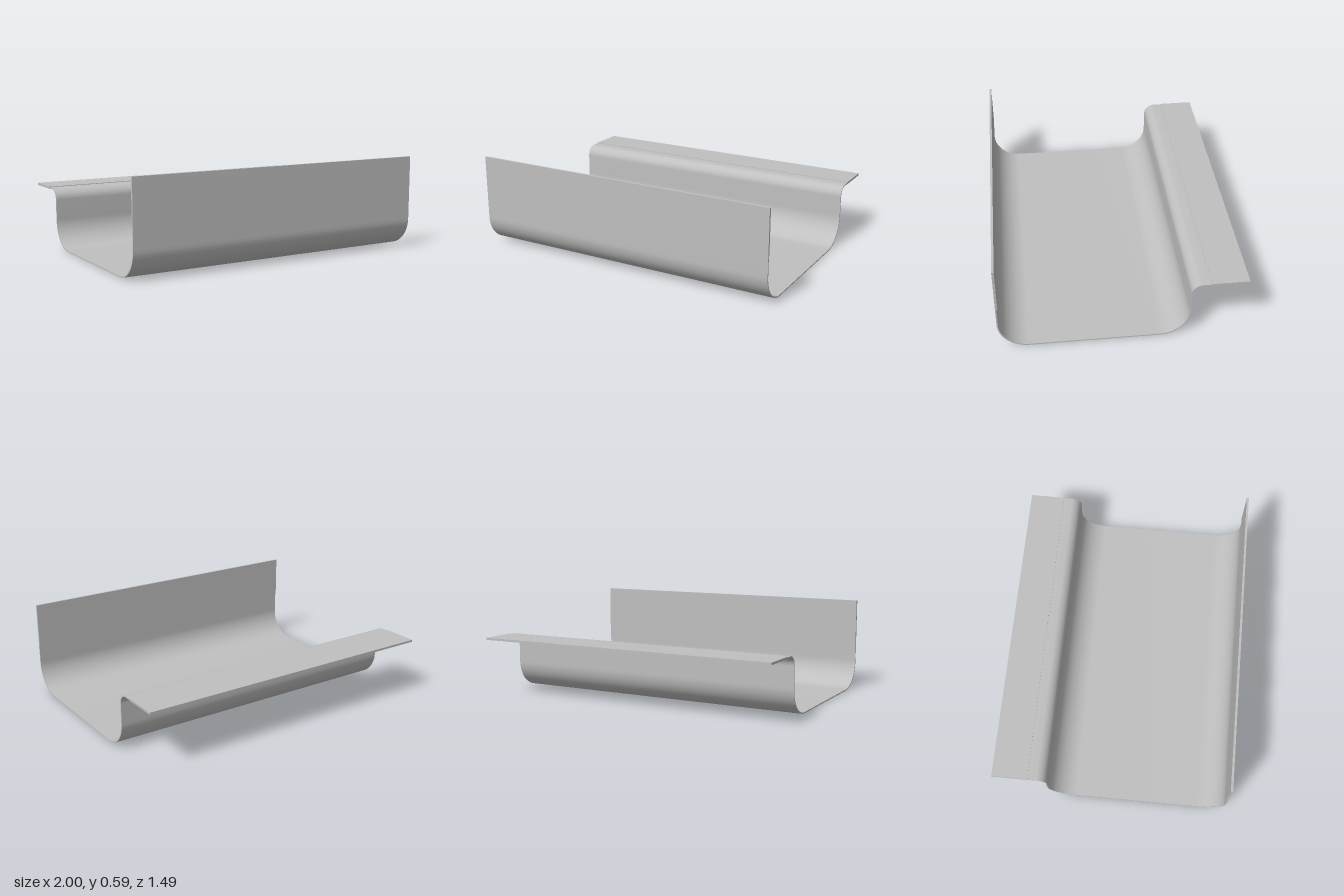
import * as THREE from 'three';
import { toCreasedNormals } from 'three/addons/utils/BufferGeometryUtils.js';

const LENGTH = 2;
const T = 0.008; // sheet thickness
const R = 0.185; // outer radius of the trough corners
const r = 0.06; // underside radius of the rim bend

// Cross-section drawn with x pointing to the back and y up
function troughProfile() {
  const front = -0.747, back = 0.41, rimY = 0.315, lip = 0.52;
  const c1 = front + R, c2 = back - R, c3 = back + r;
  const s = new THREE.Shape();
  // outside, from the front wall under the floor to the back rim
  s.moveTo(front, 0.31);
  s.lineTo(front, R);
  s.absarc(c1, R, R, Math.PI, Math.PI * 1.5, false);
  s.absarc(c2, R, R, -Math.PI / 2, 0, false);
  s.absarc(c3, rimY, r, Math.PI, Math.PI / 2, true);
  s.lineTo(lip, rimY + r);
  // inside, back again
  s.lineTo(lip, rimY + r + T);
  s.absarc(c3, rimY, r + T, Math.PI / 2, Math.PI, false);
  s.absarc(c2, R, R - T, 0, -Math.PI / 2, true);
  s.absarc(c1, R, R - T, Math.PI * 1.5, Math.PI, true);
  s.lineTo(front + T, 0.31);
  s.closePath();
  return s;
}

export function createModel() {
  const model = new THREE.Group();
  model.name = 'gutterChannel';
  const metal = new THREE.MeshStandardMaterial({ color: 0xc0c0c0 });
  metal.name = 'greyMetal';

  function add(name, geometry, y = 0, z = 0) {
    const mesh = new THREE.Mesh(geometry, metal);
    mesh.name = name;
    mesh.position.set(0, y, z);
    model.add(mesh);
  }

  // Bent sheet: front wall, floor, back wall and rim
  let sheet = new THREE.ExtrudeGeometry(troughProfile(), {
    depth: LENGTH, bevelEnabled: false, curveSegments: 20,
  });
  sheet.translate(0, 0, -LENGTH / 2);
  sheet.rotateY(Math.PI / 2);
  add('troughSheet', toCreasedNormals(sheet, 0.5));

  // Thicker edge strips along the front wall and the back lip
  add('frontEdgeStrip', new THREE.BoxGeometry(LENGTH, 0.285, 0.014), 0.4525, 0.74);
  add('backLipStrip', new THREE.BoxGeometry(LENGTH, 0.014, 0.227), 0.38, -0.6335);

  return model;
}
